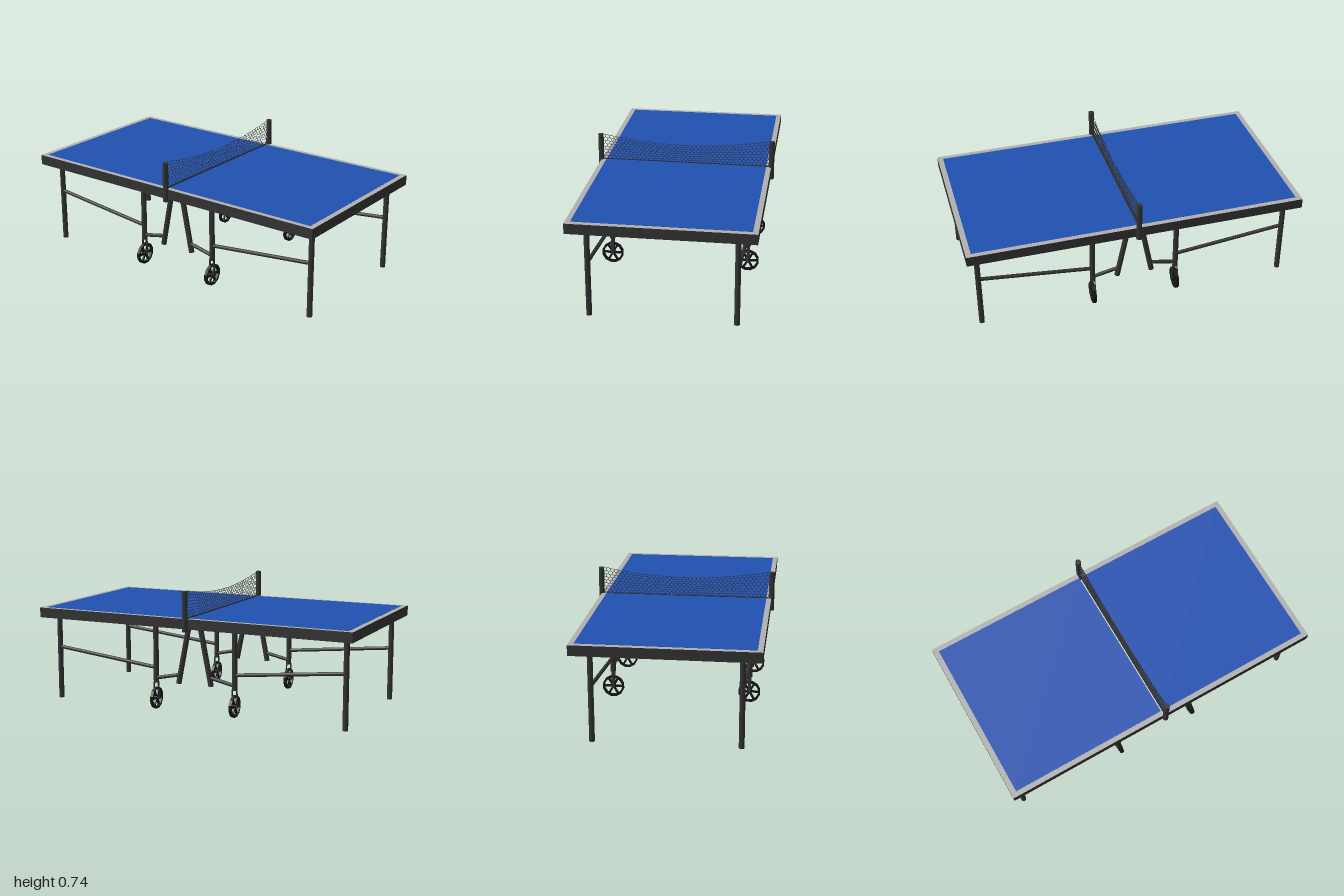
import * as THREE from 'three';
import { mergeGeometries } from 'three/addons/utils/BufferGeometryUtils.js';

const paint = (color) => new THREE.MeshStandardMaterial({ color });
const dark = paint(0x333333);
const black = paint(0x151515);
const grey = paint(0xb0b0b0);
const blue = paint(0x2050b0);
const V = (x, y, z) => new THREE.Vector3(x, y, z);

const TOP = 0.575, UNDER = 0.515, HALF_Z = 0.52, LEG_Z = 0.412, GAP = 0.009, NET_X = 0.007;

// Straight rod between two points
function rodGeometry(a, b, r, sides = 16, open = false) {
  const dir = b.clone().sub(a);
  const g = new THREE.CylinderGeometry(r, r, dir.length(), sides, 1, open);
  g.applyQuaternion(new THREE.Quaternion().setFromUnitVectors(V(0, 1, 0), dir.normalize()));
  const mid = a.clone().add(b).multiplyScalar(0.5);
  return g.translate(mid.x, mid.y, mid.z);
}

function add(parent, name, geometry, material) {
  const mesh = new THREE.Mesh(geometry, material);
  mesh.name = name;
  parent.add(mesh);
  return mesh;
}

// One half of the table: grey slab with dark edges and a blue playing field
function addTableHalf(parent, s) {
  const half = new THREE.Group();
  half.name = s > 0 ? 'leftTableHalf' : 'rightTableHalf';
  const slab = add(half, 'slab', new THREE.BoxGeometry(1 - GAP, TOP - UNDER, HALF_Z * 2),
    [dark, dark, grey, grey, dark, dark]);
  slab.position.set(s * (1 + GAP) / 2, (TOP + UNDER) / 2, 0);
  const field = add(half, 'playingField', new THREE.BoxGeometry(0.968 - GAP, 0.002, 0.98), blue);
  field.position.set(s * (0.968 + GAP) / 2, TOP, 0);
  parent.add(half);
}

// Spoked wheel with its axle along x
function makeWheel() {
  const wheel = new THREE.Group();
  wheel.name = 'wheel';
  const circle = (Type, r) => new Type(Array.from({ length: 12 }, (_, i) => {
    const a = (i + 0.5) * Math.PI / 6;
    return new THREE.Vector2(r * Math.cos(a), r * Math.sin(a));
  }));
  const rimShape = circle(THREE.Shape, 0.066);
  rimShape.holes.push(circle(THREE.Path, 0.054));
  const rim = new THREE.ExtrudeGeometry(rimShape, { depth: 0.018, bevelEnabled: false });
  add(wheel, 'rim', rim.translate(0, 0, -0.009).rotateY(Math.PI / 2), black);
  add(wheel, 'hub', new THREE.CylinderGeometry(0.014, 0.014, 0.018, 12).rotateZ(Math.PI / 2), black);
  for (let i = 0; i < 3; i++) {
    const spoke = add(wheel, 'spokePair', new THREE.BoxGeometry(0.01, 0.012, 0.112), black);
    spoke.rotation.x = i * Math.PI / 3;
  }
  add(wheel, 'axle', new THREE.CylinderGeometry(0.004, 0.004, 0.04, 8).rotateZ(Math.PI / 2), dark);
  return wheel;
}

// Legs, braces and caster at one corner of a half
function addUndercarriage(parent, sx, sz) {
  const g = new THREE.Group();
  g.name = (sz > 0 ? 'front' : 'back') + (sx > 0 ? 'Left' : 'Right') + 'Undercarriage';
  const rod = (name, x1, y1, x2, y2, r) =>
    add(g, name, rodGeometry(V(sx * x1, y1, sz * LEG_Z), V(sx * x2, y2, sz * LEG_Z), r), dark);
  rod('outerLeg', 0.932, 0, 0.932, UNDER + 0.01, 0.016);
  rod('innerLeg', 0.257, 0.16, 0.257, UNDER + 0.01, 0.016);
  rod('slantedLeg', 0.106, 0.168, 0.035, UNDER + 0.01, 0.016);
  rod('longBrace', 0.257, 0.25, 0.932, 0.322, 0.011);
  rod('shortBrace', 0.257, 0.187, 0.1, 0.22, 0.011);

  const wheel = makeWheel();
  wheel.position.set(sx * 0.257, 0.066, sz * LEG_Z);
  g.add(wheel);
  // Thin fork plates flaring down to the axle
  for (const side of [-1, 1]) {
    const plate = add(g, 'forkPlate', new THREE.BoxGeometry(0.002, 0.108, 0.018), dark);
    plate.position.set(sx * 0.257 + side * 0.0165, 0.112, sz * LEG_Z);
    plate.rotation.z = side * 0.06;
  }
  parent.add(g);
}

// Sagging honeycomb net
function addNet(parent) {
  const steps = 80, rows = 8, zEnd = 0.505;
  const point = (i, j) => {
    const t = 2 * i / steps - 1;
    const height = 0.108 + 0.05 * t * t;
    const zigzag = (i + j) % 2 === 0 ? 0.18 : -0.18;
    const v = THREE.MathUtils.clamp((j + zigzag) / rows, 0, 1.02);
    return V(NET_X, TOP + 0.003 + height * v, zEnd * t);
  };
  const strands = [];
  const strand = (a, b) => strands.push(rodGeometry(a, b, 0.0014, 4, true));
  for (let j = 0; j <= rows; j++) {
    for (let i = 0; i <= steps; i++) {
      if (i < steps) strand(point(i, j), point(i + 1, j));
      if (j < rows && (i + j) % 2 === 0) strand(point(i, j), point(i, j + 1));
    }
  }
  add(parent, 'net', mergeGeometries(strands), dark);
}

export function createModel() {
  const model = new THREE.Group();
  model.name = 'tableTennisTable';
  for (const sx of [-1, 1]) {
    addTableHalf(model, sx);
    for (const sz of [-1, 1]) addUndercarriage(model, sx, sz);
  }
  // Net posts at both ends of the gap
  for (const sz of [-1, 1]) {
    add(model, sz > 0 ? 'frontNetPost' : 'backNetPost',
      rodGeometry(V(NET_X, 0.5, sz * 0.521), V(NET_X, 0.735, sz * 0.521), 0.0165, 20), dark);
  }
  addNet(model);
  return model;
}
